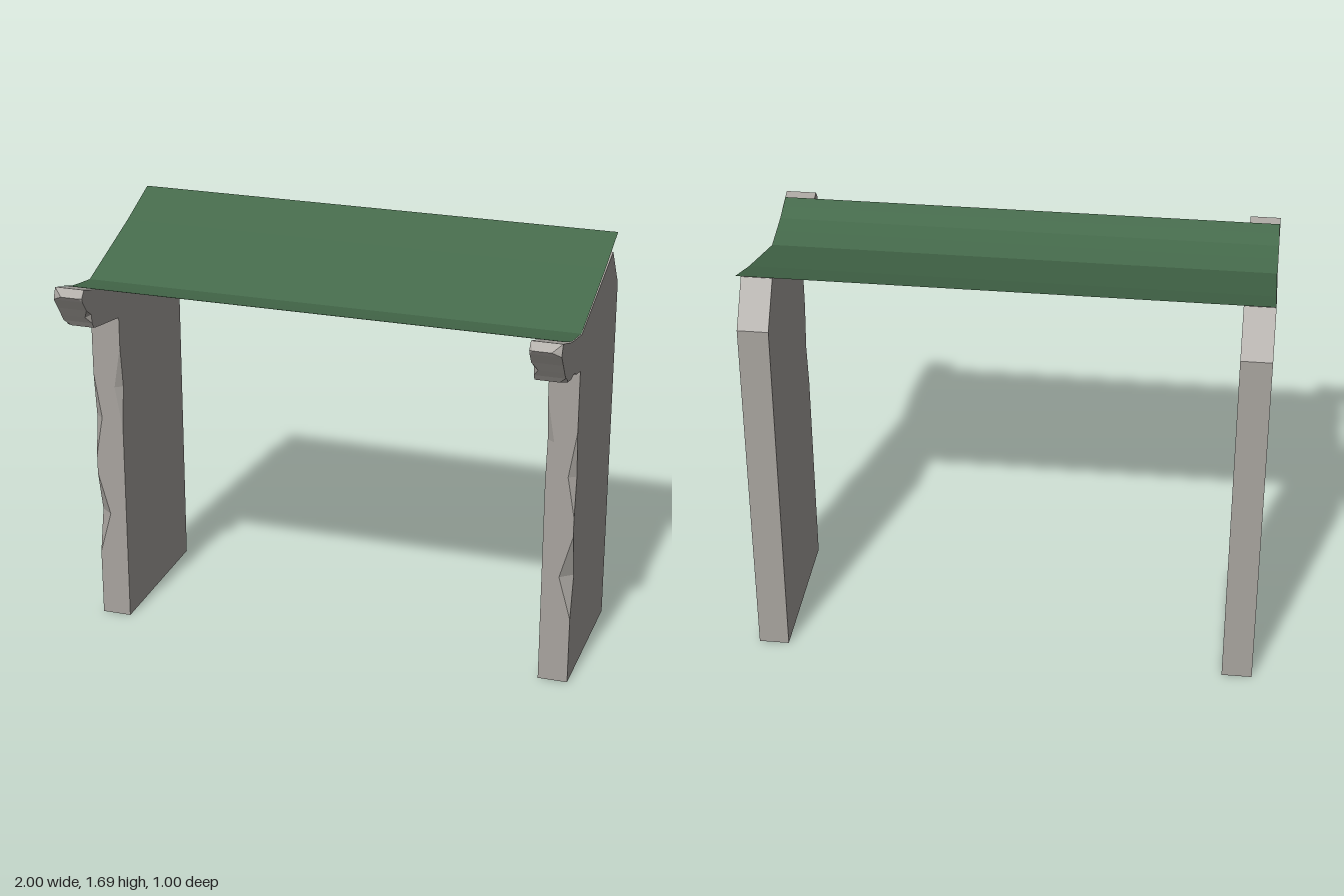
import * as THREE from 'three';

const stone = new THREE.MeshStandardMaterial({ name: 'stone grey', color: 0xa8a49f, flatShading: true });
const cloth = new THREE.MeshStandardMaterial({ name: 'canopy green', color: 0x456a4b, flatShading: true, side: THREE.DoubleSide });

// Slab outline: [z, y, outer chip [dx, dz, dy], inner chip [dx, dz, dy]]
const none = [0, 0, 0];
const chip = (f, dx, dz, dy = 0) => [f * dx, f * dz, f * dy];
const upper = f => chip(f, 0.03, -0.02);
const outline = [
  [-0.5, 0], [0.15, 0],
  // chipped front edge
  [0.15, 0.28], [0.15, 0.46, chip(1, 0.05, -0.04)], [0.15, 0.64],
  [0.15, 0.72], [0.15, 0.85, upper(0.76)], [0.15, 0.89, upper(1), upper(0.22)],
  [0.15, 1.03, upper(0.26), upper(1)], [0.15, 1.08, none, upper(0.72)], [0.15, 1.21],
  // overhanging bracket
  [0.15, 1.333], [0.21, 1.343], [0.26, 1.352, chip(1, 0.03, 0, 0.012)], [0.31, 1.36],
  [0.37, 1.371], [0.392, 1.376, chip(1, 0.025, -0.008, 0.015)], [0.407, 1.4],
  [0.427, 1.428, none, chip(1, 0.02, -0.015, 0.01)], [0.455, 1.468],
  [0.488, 1.513], [0.5, 1.53, chip(1, 0.035, -0.018), chip(0.4, 0.03, -0.015)], [0.47, 1.558],
  // sloped top
  [0.32, 1.51], [0.15, 1.48], [-0.38, 1.635], [-0.5, 1.47],
];

// Lofts the outline across the slab thickness, bevelling each chip
function slabGeometry(side) {
  const pos = [];
  const tri = (a, b, c) => {
    const area = new THREE.Triangle(a, b, c).getArea();
    if (area > 1e-7) for (const p of side > 0 ? [a, b, c] : [a, c, b]) pos.push(p.x * side, p.y, p.z);
  };
  const rows = outline.map(([z, y, o = none, i = none]) => [
    new THREE.Vector3(1, y + o[2], z + o[1]),
    new THREE.Vector3(1 - o[0], y, z),
    new THREE.Vector3(0.88 + i[0], y, z),
    new THREE.Vector3(0.88, y + i[2], z + i[1]),
  ]);
  rows.forEach((r, n) => {
    const q = rows[(n + 1) % rows.length];
    for (let k = 0; k < 3; k++) {
      tri(r[k + 1], r[k], q[k]);
      tri(r[k + 1], q[k], q[k + 1]);
    }
  });
  // outer and inner faces
  for (const [k, facing] of [[0, 1], [3, -1]]) {
    const pts = rows.map(r => r[k]);
    const faces = THREE.ShapeUtils.triangulateShape(pts.map(p => new THREE.Vector2(p.z, p.y)), []);
    for (const f of faces) {
      const [a, b, c] = f.map(i => pts[i]);
      const nx = (b.y - a.y) * (c.z - a.z) - (b.z - a.z) * (c.y - a.y);
      if (nx * facing > 0) tri(a, b, c); else tri(a, c, b);
    }
  }
  const g = new THREE.BufferGeometry();
  g.setAttribute('position', new THREE.Float32BufferAttribute(pos, 3));
  g.computeVertexNormals();
  return g;
}

// Thin sheet bent along its cross-section (z, y)
function canopyGeometry() {
  const section = [[0.43, 1.551], [0.38, 1.534], [0.32, 1.513], [0.24, 1.498], [0.15, 1.483], [-0.25, 1.608], [-0.47, 1.688]];
  const g = new THREE.PlaneGeometry(1.996, 1, 1, section.length - 1);
  const p = g.attributes.position;
  for (let i = 0; i < p.count; i++) {
    const [z, y] = section[section.length - 1 - Math.floor(i / 2)];
    p.setXYZ(i, p.getX(i), y, z);
  }
  const flat = g.toNonIndexed();
  flat.computeVertexNormals();
  return flat;
}

export function createModel() {
  const model = new THREE.Group();
  model.name = 'marketStall';
  for (const [side, name] of [[1, 'leftStoneWall'], [-1, 'rightStoneWall']]) {
    const wall = new THREE.Mesh(slabGeometry(side), stone);
    wall.name = name;
    model.add(wall);
  }
  const canopy = new THREE.Mesh(canopyGeometry(), cloth);
  canopy.name = 'canopy';
  model.add(canopy);
  return model;
}
